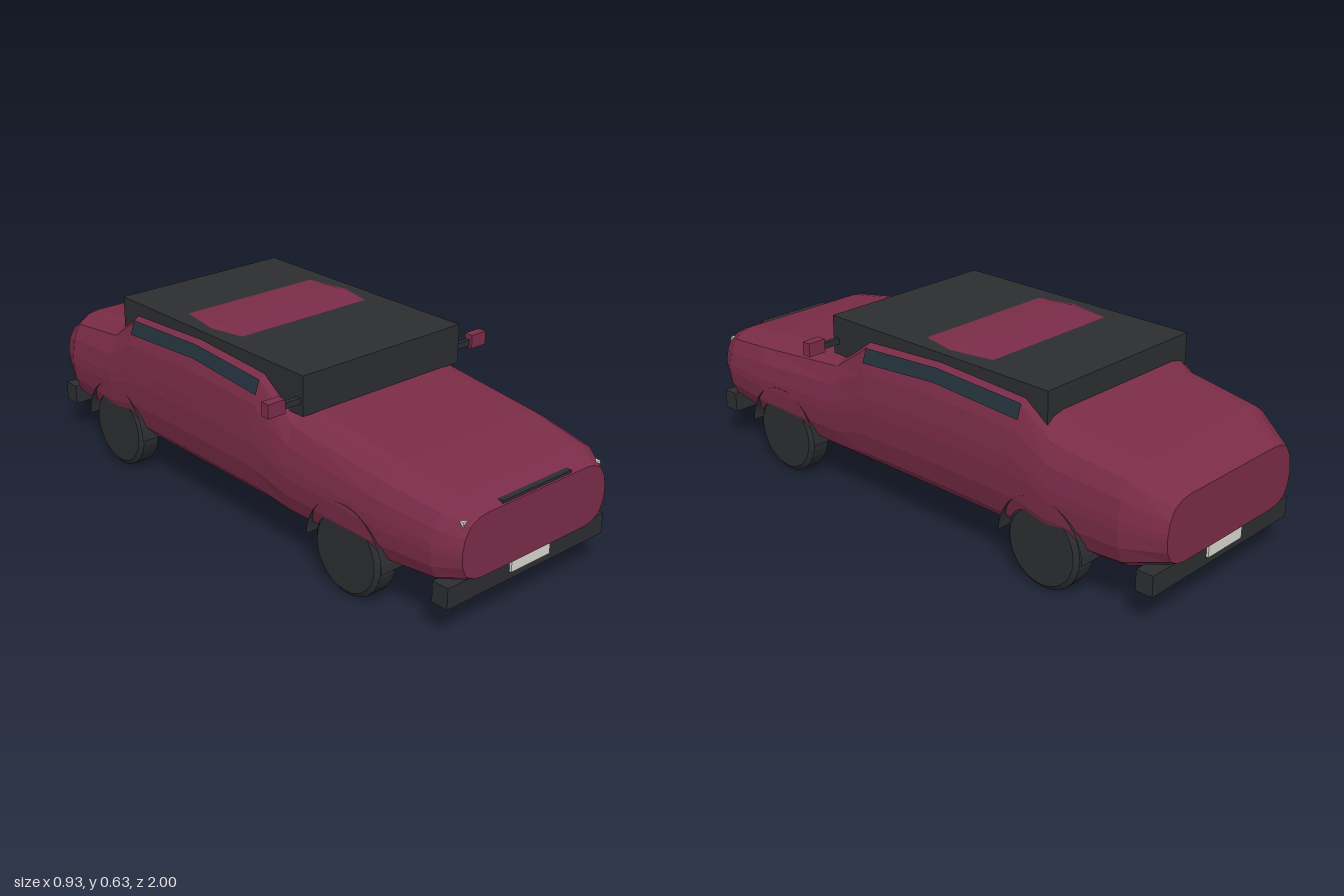
import * as THREE from 'three';

const mat = (color) => new THREE.MeshStandardMaterial({ color, flatShading: true, side: THREE.DoubleSide });
const red = mat(0x7a2c47);
const dark = mat(0x2b2d30);
const glass = mat(0x24323c);
const pale = mat(0xd8d6ce);

// Body stations, front to back: z, half width, bottom, top
const STATIONS = [
  [1, 0.31, 0.185, 0.385],
  [0.92, 0.355, 0.16, 0.42],
  [0.72, 0.38, 0.145, 0.45],
  [0.33, 0.385, 0.135, 0.495],
  [0.18, 0.385, 0.135, 0.61],
  [-0.14, 0.385, 0.135, 0.63],
  [-0.49, 0.385, 0.135, 0.612],
  [-0.61, 0.385, 0.135, 0.517],
  [-0.87, 0.37, 0.15, 0.477],
  [-1, 0.31, 0.19, 0.4],
];

// Quarter of the rounded cross-section, mirrored into a full ring
const QUARTER = [[1, 0.1], [0.985, 0.45], [0.93, 0.78], [0.825, 0.95], [0.71, 1]];
const flipped = [...QUARTER].reverse();
const RING = [
  ...QUARTER,
  ...flipped.map(([x, y]) => [-x, y]),
  ...QUARTER.map(([x, y]) => [-x, -y]),
  ...flipped.map(([x, y]) => [x, -y]),
];

// Joins equal rows of points into a surface
function loft(rows, closed) {
  const n = rows[0].length;
  const index = [];
  for (let i = 0; i < rows.length - 1; i++) {
    for (let j = 0; j < (closed ? n : n - 1); j++) {
      const a = i * n + j, b = i * n + (j + 1) % n;
      index.push(a, a + n, b, b, a + n, b + n);
    }
  }
  if (closed) {
    const last = (rows.length - 1) * n;
    for (let j = 1; j < n - 1; j++) {
      index.push(0, j, j + 1, last, last + j + 1, last + j);
    }
  }
  const geo = new THREE.BufferGeometry();
  geo.setAttribute('position', new THREE.Float32BufferAttribute(rows.flat(2), 3));
  geo.setIndex(index);
  const flat = geo.toNonIndexed();
  flat.computeVertexNormals();
  return flat;
}

function bodyGeometry() {
  return loft(STATIONS.map(([z, w, lo, hi]) => RING.map(([u, v]) => [
    u * w * (1 - 0.03 * Math.max(v, 0)),
    (lo + hi) / 2 + v * (hi - lo) / 2,
    z,
  ])), true);
}

// Window strip lying just outside the body side
function windowGeometry(side) {
  const rows = [[4, 0.512, 0.56], [5, 0.535, 0.58], [6, 0.517, 0.565]].map(([s, y0, y1]) => {
    const [z, w, lo, hi] = STATIONS[s];
    return [y0, y1].map((y) => {
      const v = (y - (lo + hi) / 2) / ((hi - lo) / 2);
      const u = 0.985 - (v - 0.45) * 0.055 / 0.33;
      return [side * (u * w * (1 - 0.03 * v) + 0.005), y, z];
    });
  });
  if (side < 0) rows.forEach((r) => r.reverse());
  return loft(rows, false);
}

// Tyre with bevelled edges, turned about its axle
function wheelGeometry() {
  const profile = [[0, -0.042], [0.125, -0.042], [0.14, -0.03], [0.14, 0.03], [0.125, 0.042], [0, 0.042]];
  return new THREE.LatheGeometry(profile.map(([r, y]) => new THREE.Vector2(r, y)), 28).rotateZ(Math.PI / 2);
}

export function createModel() {
  const car = new THREE.Group();
  car.name = 'car';

  const add = (name, geometry, material, x = 0, y = 0, z = 0) => {
    const mesh = new THREE.Mesh(geometry, material);
    mesh.name = name;
    mesh.position.set(x, y, z);
    car.add(mesh);
  };
  // Box given by its limits on each axis
  const box = (name, material, [x0, x1], [y0, y1], [z0, z1]) =>
    add(name, new THREE.BoxGeometry(x1 - x0, y1 - y0, z1 - z0), material,
      (x0 + x1) / 2, (y0 + y1) / 2, (z0 + z1) / 2);
  const span = (side, a, b) => (side > 0 ? [a, b] : [-b, -a]);

  add('body', bodyGeometry(), red);
  box('cabinTop', dark, [-0.333, 0.333], [0.49, 0.622], [-0.575, 0.36]);
  box('grille', dark, [-0.148, 0.148], [0.375, 0.396], [0.965, 0.995]);

  // Bumpers and plates at both ends
  for (const end of [1, -1]) {
    const label = end > 0 ? 'front' : 'rear';
    box(label + 'Bumper', dark, [-0.34, 0.34], [0.113, 0.182], span(end, 0.92, 0.98));
    box(label + 'Plate', pale, [-0.084, 0.084], [0.14, 0.181], span(end, 0.97, 0.988));
  }

  for (const side of [1, -1]) {
    const label = side > 0 ? 'left' : 'right';
    add(label + 'Window', windowGeometry(side), glass);
    box(label + 'Headlight', pale, span(side, 0.22, 0.296), [0.33, 0.376], [0.95, 0.985]);
    box(label + 'MirrorArm', dark, span(side, 0.32, 0.405), [0.528, 0.548], [0.332, 0.348]);
    box(label + 'Mirror', red, span(side, 0.4, 0.465), [0.52, 0.566], [0.326, 0.358]);

    // Wheels under open half-round arches
    for (const z of [0.595, -0.593]) {
      const place = label + (z > 0 ? 'Front' : 'Rear');
      add(place + 'Wheel', wheelGeometry(), dark, side * 0.331, 0.14, z);
      const arch = new THREE.CylinderGeometry(0.164, 0.164, 0.09, 20, 1, true, 0, Math.PI).rotateZ(Math.PI / 2);
      add(place + 'Arch', arch, dark, side * 0.337, 0.142, z);
    }
  }
  return car;
}
